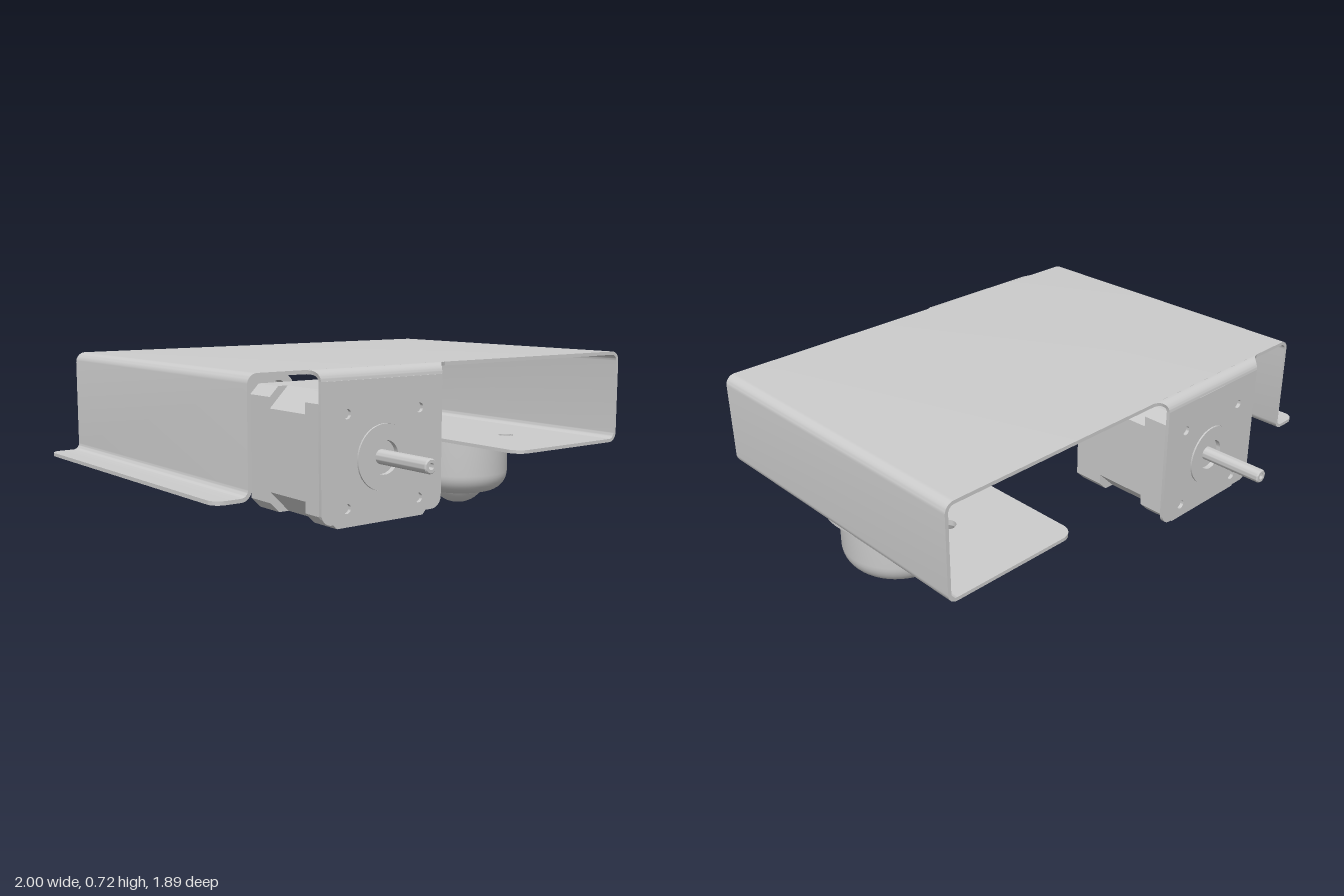
import * as THREE from 'three';
import { toCreasedNormals } from 'three/addons/utils/BufferGeometryUtils.js';

const grey = new THREE.MeshStandardMaterial({ color: 0xcccccc });
const T = 0.014;          // sheet thickness
const BEND = 0.033;       // bend radius on the sheet's middle line
const HALF_Z = 0.657;     // half width of the chassis
const MOTOR_Y = 0.4;

function add(parent, name, geometry) {
  const mesh = new THREE.Mesh(toCreasedNormals(geometry, 0.6), grey);
  mesh.name = name;
  parent.add(mesh);
  return mesh;
}

function extrude(shape, depth) {
  return new THREE.ExtrudeGeometry(shape, { depth, bevelEnabled: false, curveSegments: 16 });
}

function lathe(points, segments = 48) {
  return new THREE.LatheGeometry(points.map(([r, y]) => new THREE.Vector2(r, y)), segments);
}

function punch(shape, x, y, r) {
  shape.holes.push(new THREE.Path().absarc(x, y, r, 0, Math.PI * 2, true));
}

// Samples a right-angle bend at corner (x, y); w(k) gives the half width
function bend([x, y], [ix, iy], [ox, oy], w, steps = 10) {
  const cx = x - BEND * ix + BEND * ox, cy = y - BEND * iy + BEND * oy;
  return Array.from({ length: steps + 1 }, (_, i) => {
    const k = i / steps, c = Math.cos(k * Math.PI / 2) * BEND, s = Math.sin(k * Math.PI / 2) * BEND;
    return { x: cx - ox * c + ix * s, y: cy - oy * c + iy * s, w: w(k) };
  });
}

// Sheet of thickness T following a path in xy, with a half width along z at each point
function bentSheet(path) {
  const rows = path.map((p, i) => {
    const a = path[Math.max(i - 1, 0)], b = path[Math.min(i + 1, path.length - 1)];
    const l = Math.hypot(b.x - a.x, b.y - a.y);
    const nx = -(b.y - a.y) / l * T / 2, ny = (b.x - a.x) / l * T / 2;
    return [[1, -1], [1, 1], [-1, 1], [-1, -1]].map(([n, z]) => [p.x + nx * n, p.y + ny * n, p.w * z]);
  });
  const out = [];
  const quad = (a, b, c, d) => out.push(...a, ...b, ...c, ...a, ...c, ...d);
  for (let i = 0; i < rows.length - 1; i++) {
    for (let j = 0; j < 4; j++) {
      const k = (j + 1) % 4;
      quad(rows[i][j], rows[i][k], rows[i + 1][k], rows[i + 1][j]);
    }
  }
  const [a, b, c, d] = rows[0];
  quad(d, c, b, a);
  quad(...rows[rows.length - 1]);
  const g = new THREE.BufferGeometry();
  g.setAttribute('position', new THREE.Float32BufferAttribute(out, 3));
  g.computeVertexNormals();
  return g;
}

// Square of half size h with chamfered corners
function octagon(h, c) {
  const k = h - c;
  return new THREE.Shape([[h, -k], [h, k], [k, h], [-k, h], [-h, k], [-h, -k], [-k, -h], [k, -h]]
    .map(([x, y]) => new THREE.Vector2(x, y)));
}

const corners = [[1, 1], [-1, 1], [-1, -1], [1, -1]].map(([x, y]) => [x * 0.165, y * 0.165]);

function buildChassis() {
  const g = new THREE.Group();
  g.name = 'chassis';
  const full = () => HALF_Z;
  // Lip with rounded outer corners, then wall, deck and end wall
  const R = 0.045;
  const lip = Array.from({ length: 9 }, (_, i) => {
    const p = i / 8 * Math.PI / 2;
    return { x: -1 + R * (1 - Math.cos(p)), y: 0.307, w: HALF_Z - R * (1 - Math.sin(p)) };
  });
  add(g, 'bentDeck', bentSheet([
    ...lip,
    ...bend([-0.865, 0.307], [1, 0], [0, 1], full),
    ...bend([-0.865, 0.713], [0, 1], [1, 0], full),
    ...bend([0.993, 0.713], [1, 0], [0, -1], full),
    ...bend([0.993, 0.339], [0, -1], [-1, 0], full),
  ]));
  // Lower shelf that carries the caster
  const x0 = 0.4, x1 = 0.96, r = 0.06;
  const shelf = new THREE.Shape();
  shelf.moveTo(x1, -HALF_Z).lineTo(x1, HALF_Z);
  shelf.lineTo(x0 + r, HALF_Z).absarc(x0 + r, HALF_Z - r, r, Math.PI / 2, Math.PI, false);
  shelf.absarc(x0 + r, -HALF_Z + r, r, Math.PI, Math.PI * 1.5, false);
  for (const s of [-1, 1]) punch(shelf, 0.7, s * 0.3, 0.032);
  add(g, 'casterShelf', extrude(shelf, T).rotateX(Math.PI / 2)).position.y = 0.346;
  return g;
}

function buildCaster() {
  const g = new THREE.Group();
  g.name = 'caster';
  g.position.x = 0.7;
  // Mounting plate: a disc blended into two ears
  const a = Math.asin(0.2 / 0.3), P = Math.PI;
  const plate = new THREE.Shape();
  plate.absarc(0, 0, 0.28, -a, a, false).absarc(0, 0.3, 0.08, a, P - a, false);
  plate.absarc(0, 0, 0.28, P - a, P + a, false).absarc(0, -0.3, 0.08, P + a, 2 * P - a, false);
  for (const s of [-1, 1]) punch(plate, 0, s * 0.3, 0.032);
  add(g, 'casterPlate', extrude(plate, 0.01).rotateX(P / 2)).position.y = 0.333;
  // Cup with rounded bottom edge
  const cup = [[0.1, 0.1], [0.12, 0.065]];
  for (let i = 0; i <= 10; i++) {
    const t = i / 10 * P / 2;
    cup.push([0.135 + 0.09 * Math.sin(t), 0.155 - 0.09 * Math.cos(t)]);
  }
  cup.push([0.225, 0.325]);
  add(g, 'casterCup', lathe(cup));
  add(g, 'casterBall', new THREE.SphereGeometry(0.135, 40, 24)).position.y = 0.135;
  return g;
}

// Motor with its mounting flange, facing +z
function buildDriveSide() {
  const g = new THREE.Group();
  g.name = 'driveSide';
  g.position.x = -0.33;

  // Bend from the deck, flared where it leaves the deck edge
  const R = 0.05, W = 0.275;
  const flare = bend([0.69, 0.713], [1, 0], [0, -1], k => W + R - R * Math.sqrt(1 - (1 - k) ** 2), 14);
  add(g, 'flangeBend', bentSheet(flare)).rotation.y = -Math.PI / 2;

  const c = 0.045, bottom = -0.215;
  const flange = new THREE.Shape();
  flange.moveTo(W, 0.28).lineTo(-W, 0.28);
  flange.lineTo(-W, bottom + c).absarc(-W + c, bottom + c, c, Math.PI, Math.PI * 1.5, false);
  flange.absarc(W - c, bottom + c, c, Math.PI * 1.5, Math.PI * 2, false);
  for (const [x, y] of corners) punch(flange, x, y, 0.018);
  punch(flange, 0, 0, 0.121);
  add(g, 'motorFlange', extrude(flange, T)).position.set(0, MOTOR_Y, 0.683);

  const motor = new THREE.Group();
  motor.name = 'motor';
  motor.position.y = MOTOR_Y;
  g.add(motor);

  // End caps and the more deeply chamfered core
  add(motor, 'frontCap', extrude(octagon(0.235, 0.038), 0.133)).position.z = 0.55;
  add(motor, 'motorCore', extrude(octagon(0.235, 0.08), 0.22)).position.z = 0.33;
  const rear = octagon(0.235, 0.038);
  for (const [x, y] of corners) punch(rear, x, y, 0.035);
  punch(rear, 0, 0, 0.05);
  add(motor, 'rearCap', extrude(rear, 0.13)).position.z = 0.2;
  for (const [x, y] of corners) {
    add(motor, 'capScrew', new THREE.CylinderGeometry(0.026, 0.026, 0.12, 20).rotateX(Math.PI / 2))
      .position.set(x, y, 0.275);
  }
  // Raised pilot ring and the shaft with a centre-drilled end
  add(motor, 'pilotRing', lathe([[0.12, 0], [0.12, 0.02], [0.062, 0.02], [0.062, 0]]).rotateX(Math.PI / 2))
    .position.z = 0.683;
  add(motor, 'shaft', lathe([[0, 0.215], [0.027, 0.215], [0.027, 0.94], [0.023, 0.945],
    [0.012, 0.945], [0.012, 0.92], [0, 0.915]], 32).rotateX(Math.PI / 2));
  return g;
}

export function createModel() {
  const model = new THREE.Group();
  model.name = 'robotChassis';
  model.add(buildChassis(), buildCaster());
  for (const turn of [0, Math.PI]) {
    const side = buildDriveSide();
    side.rotation.y = turn;
    model.add(side);
  }
  return model;
}
